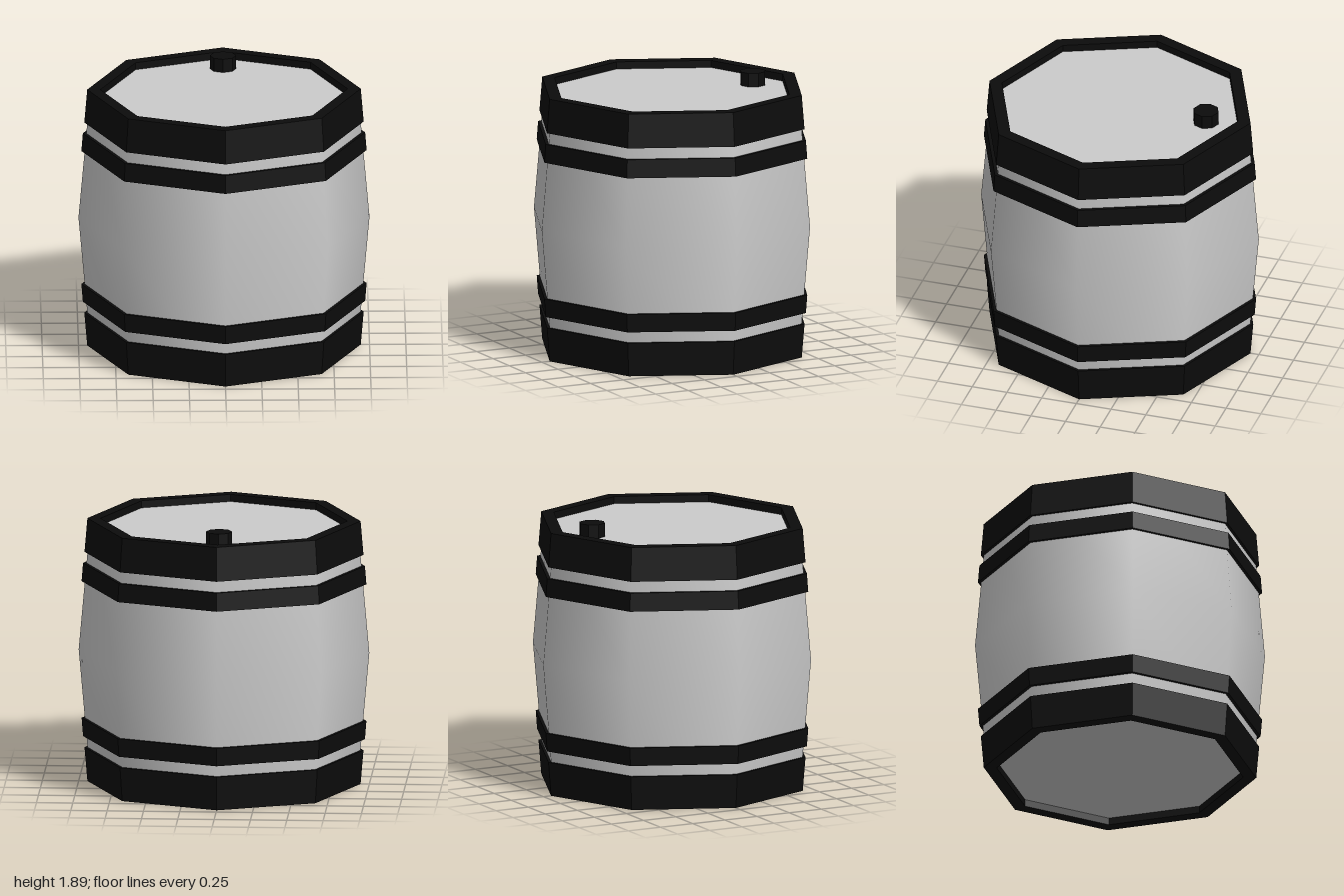
import * as THREE from 'three';

const SIDES = 8;
const HEIGHT = 1.845;
const RECESS = 0.05;

const grey = new THREE.MeshStandardMaterial({ color: 0xcccccc });
const black = new THREE.MeshStandardMaterial({ color: 0x0c0c0c, flatShading: true });

const lathe = (points) =>
  new THREE.LatheGeometry(points.map(([r, y]) => new THREE.Vector2(r, y)), SIDES);

function add(group, name, geometry, material) {
  const mesh = new THREE.Mesh(geometry, material);
  mesh.name = name;
  group.add(mesh);
  return mesh;
}

// closed hoop, from its end-side edge to its belly-side edge; flip mirrors it to the top
function hoop(yEnd, rEnd, yBelly, rBelly, inner, flip) {
  const section = [[rEnd, yEnd], [rBelly, yBelly], [inner, yBelly], [inner, yEnd], [rEnd, yEnd]];
  if (!flip) return lathe(section);
  return lathe(section.map(([r, y]) => [r, HEIGHT - y]).reverse());
}

export function createModel() {
  const barrel = new THREE.Group();
  barrel.name = 'barrel';

  // bulging staves, smooth around the octagon
  add(barrel, 'body', lathe([[0.92, 0.02], [1, HEIGHT / 2], [0.92, HEIGHT - 0.02]]), grey);

  // matching hoops and recessed end panels
  for (const top of [false, true]) {
    const end = top ? 'top' : 'bottom';
    add(barrel, `${end}RimHoop`, hoop(0, 0.94, 0.237, 0.96, 0.85, top), black);
    add(barrel, `${end}MiddleHoop`, hoop(0.315, 0.97, 0.443, 0.98, 0.9, top), black);

    const panel = add(barrel, `${end}Panel`, new THREE.CircleGeometry(0.87, SIDES), grey);
    panel.rotation.x = top ? -Math.PI / 2 : Math.PI / 2;
    panel.position.y = top ? HEIGHT - RECESS : RECESS;
  }

  // filler cap near the back of the lid
  const cap = add(barrel, 'cap', new THREE.CylinderGeometry(0.09, 0.09, 0.11, SIDES), black);
  cap.position.set(0, 1.835, -0.62);

  return barrel;
}
